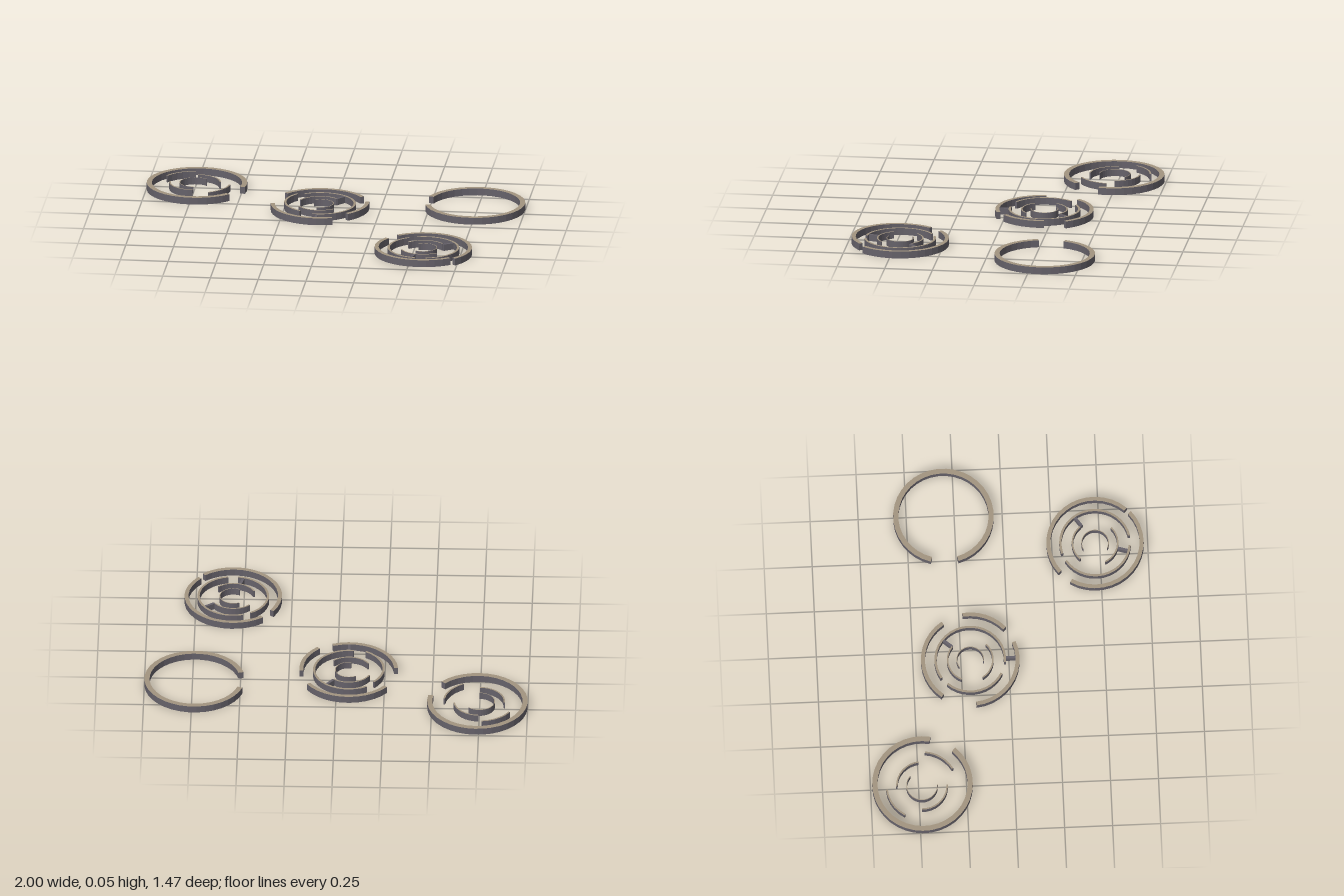
import * as THREE from 'three';

const HEIGHT = 0.037;

export function createModel() {
  const model = new THREE.Group();
  const wallGrey = new THREE.MeshStandardMaterial({ color: 0x66626a });
  wallGrey.name = 'wallGrey';
  const topSand = new THREE.MeshStandardMaterial({ color: 0xa39580 });
  topSand.name = 'topSand';

  // Curved wall: angles in degrees from +x towards +z, sand on the upper face only
  function arcWall(name, outer, width, from, to, lift = 0) {
    const steps = Math.max(4, Math.round((to - from) / 10));
    const rim = (r, i) => {
      const a = THREE.MathUtils.degToRad(from + ((to - from) * i) / steps);
      return new THREE.Vector2(r * Math.cos(a), -r * Math.sin(a));
    };
    const points = [];
    for (let i = 0; i <= steps; i++) points.push(rim(outer, i));
    for (let i = steps; i >= 0; i--) points.push(rim(outer - width, i));
    const geometry = new THREE.ExtrudeGeometry(new THREE.Shape(points), {
      depth: HEIGHT, bevelEnabled: false, steps: 1,
    });
    const caps = geometry.groups[0].count;
    const sides = geometry.groups[1].count;
    geometry.clearGroups();
    geometry.addGroup(0, caps / 2, 0);
    geometry.addGroup(caps / 2, caps / 2, 1);
    geometry.addGroup(caps, sides, 0);
    geometry.rotateX(-Math.PI / 2);
    const mesh = new THREE.Mesh(geometry, [wallGrey, topSand]);
    mesh.name = name;
    mesh.position.y = lift;
    return mesh;
  }

  // Short radial wall joining two neighbouring rings
  function spoke(inner, outer, angle) {
    const mesh = new THREE.Mesh(new THREE.BoxGeometry(outer - inner, HEIGHT - 0.003, 0.014), wallGrey);
    const a = THREE.MathUtils.degToRad(angle);
    const r = (inner + outer) / 2;
    mesh.position.set(r * Math.cos(a), HEIGHT / 2, r * Math.sin(a));
    mesh.rotation.y = -a;
    mesh.name = 'radialWall';
    return mesh;
  }

  // A set of concentric walls; each row is name, outer radius, width, from, to, lift
  function maze(name, x, z, walls, spokes = []) {
    const group = new THREE.Group();
    group.name = name;
    group.position.set(x, 0, z);
    walls.forEach((w) => group.add(arcWall(...w)));
    spokes.forEach((s) => group.add(spoke(...s)));
    model.add(group);
    return group;
  }

  // Back left: thick ring around a slightly offset set of thin arcs
  const left = maze('leftMaze', -0.738, -0.479, [
    ['outerWall', 0.262, 0.027, 43, 371.5],
    ['middleWall', 0.189, 0.009, 211, 265],
    ['middleWall', 0.189, 0.009, 7, 62],
    ['innerWall', 0.135, 0.008, 270, 354],
    ['innerWall', 0.135, 0.008, 90, 183],
    ['coreWall', 0.082, 0.004, 90, 313],
  ]);
  left.children.slice(1).forEach((w) => w.position.set(-0.01, 0, -0.003));

  // Centre
  maze('centreMaze', -0.062, -0.201, [
    ['outerWall', 0.257, 0.021, 218, 327],
    ['outerWall', 0.257, 0.021, -7, 49, 0.01],
    ['outerWall', 0.257, 0.021, 69, 175],
    ['middleWall', 0.187, 0.012, 238, 457],
    ['middleWall', 0.187, 0.012, 118, 223, 0.008],
    ['innerWall', 0.122, 0.008, 204, 310],
    ['innerWall', 0.122, 0.008, 47, 149],
    ['coreWall', 0.072, 0.004, 237, 459],
  ], [[0.117, 0.18, -50], [0.183, 0.24, 89]]);

  // Front right, with one outer wall tipped up slightly towards the front
  const front = maze('frontMaze', 0.556, 0.476, [
    ['outerWall', 0.254, 0.021, 50, 213, 0.004],
    ['outerWall', 0.254, 0.021, 231, 403],
    ['middleWall', 0.187, 0.012, 253, 440],
    ['middleWall', 0.187, 0.012, 97, 239],
    ['innerWall', 0.122, 0.008, 223, 322],
    ['innerWall', 0.122, 0.008, 48, 156],
    ['coreWall', 0.072, 0.004, 243, 478],
  ], [[0.117, 0.18, -34], [0.117, 0.182, 106]]);
  front.children[0].rotation.x = -0.025;

  // Back right: single open ring
  maze('openRing', 0.738, -0.306, [['outerWall', 0.262, 0.027, 197, 525]]);

  return model;
}
